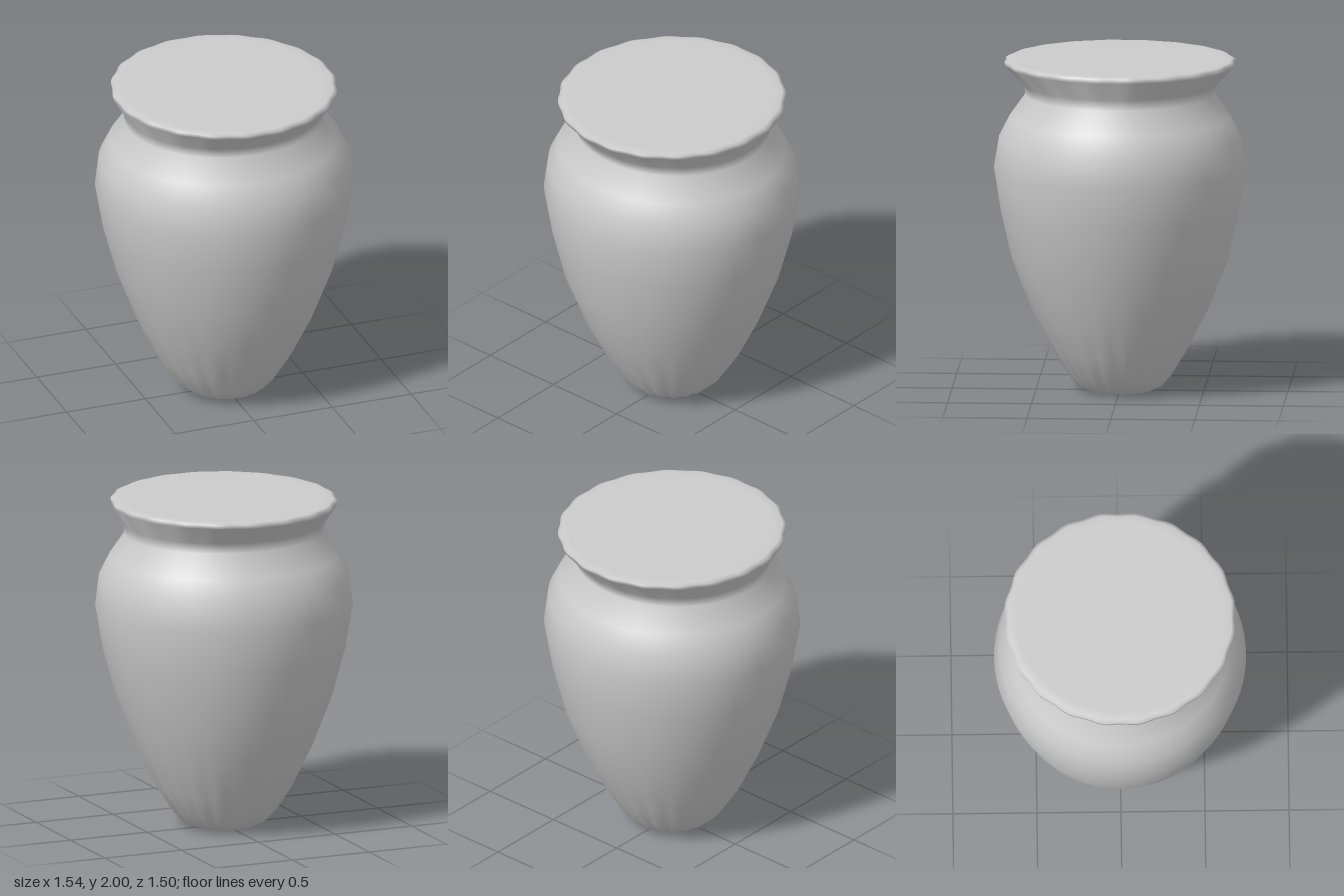
import * as THREE from 'three';
import { mergeVertices } from 'three/addons/utils/BufferGeometryUtils.js';

// Rings from bottom to top: height, radius along x, radius along z, flute depth
const RINGS = [
  [0, 0, 0, 0],
  [0, 0.15, 0.15, 0],
  [0.005, 0.18, 0.19, 0.02],
  [0.035, 0.245, 0.25, 0.025],
  [0.1, 0.31, 0.305, 0.02],
  [0.25, 0.41, 0.4, 0.008],
  [0.5, 0.53, 0.53, 0],
  [0.8, 0.645, 0.645, 0],
  [1.09, 0.725, 0.71, 0],
  [1.35, 0.77, 0.75, 0],
  [1.53, 0.75, 0.72, 0],
  [1.65, 0.69, 0.66, 0],
  [1.79, 0.597, 0.56, 0],
  [1.855, 0.607, 0.58, 0],
  [1.965, 0.667, 0.68, 0.008],
  [1.99, 0.667, 0.685, 0.008],
  [2.0, 0.645, 0.665, 0.006],
  [2.0, 0.6, 0.62, 0],
  [2.0, 0, 0, 0],
];
const FLUTES = 20;

function createJarGeometry() {
  const profile = RINGS.map(([y, rx]) => new THREE.Vector2(rx, y));
  let geometry = new THREE.LatheGeometry(profile, FLUTES * 6);
  const pos = geometry.attributes.position;
  // Make each ring slightly oval and wave the foot and rim
  for (let i = 0; i < pos.count; i++) {
    const [, rx, rz, depth] = RINGS[i % RINGS.length];
    const angle = Math.atan2(pos.getX(i), pos.getZ(i));
    const wave = 1 - depth * Math.cos(angle * FLUTES);
    pos.setX(i, Math.sin(angle) * rx * wave);
    pos.setZ(i, Math.cos(angle) * rz * wave);
  }
  // Weld the seam so the shading runs smoothly around
  geometry.deleteAttribute('uv');
  geometry.deleteAttribute('normal');
  geometry = mergeVertices(geometry, 1e-5);
  geometry.computeVertexNormals();
  return geometry;
}

export function createModel() {
  const group = new THREE.Group();
  group.name = 'jar';
  const body = new THREE.Mesh(
    createJarGeometry(),
    new THREE.MeshStandardMaterial({ color: 0xcccccc })
  );
  body.name = 'jarBody';
  group.add(body);
  return group;
}
